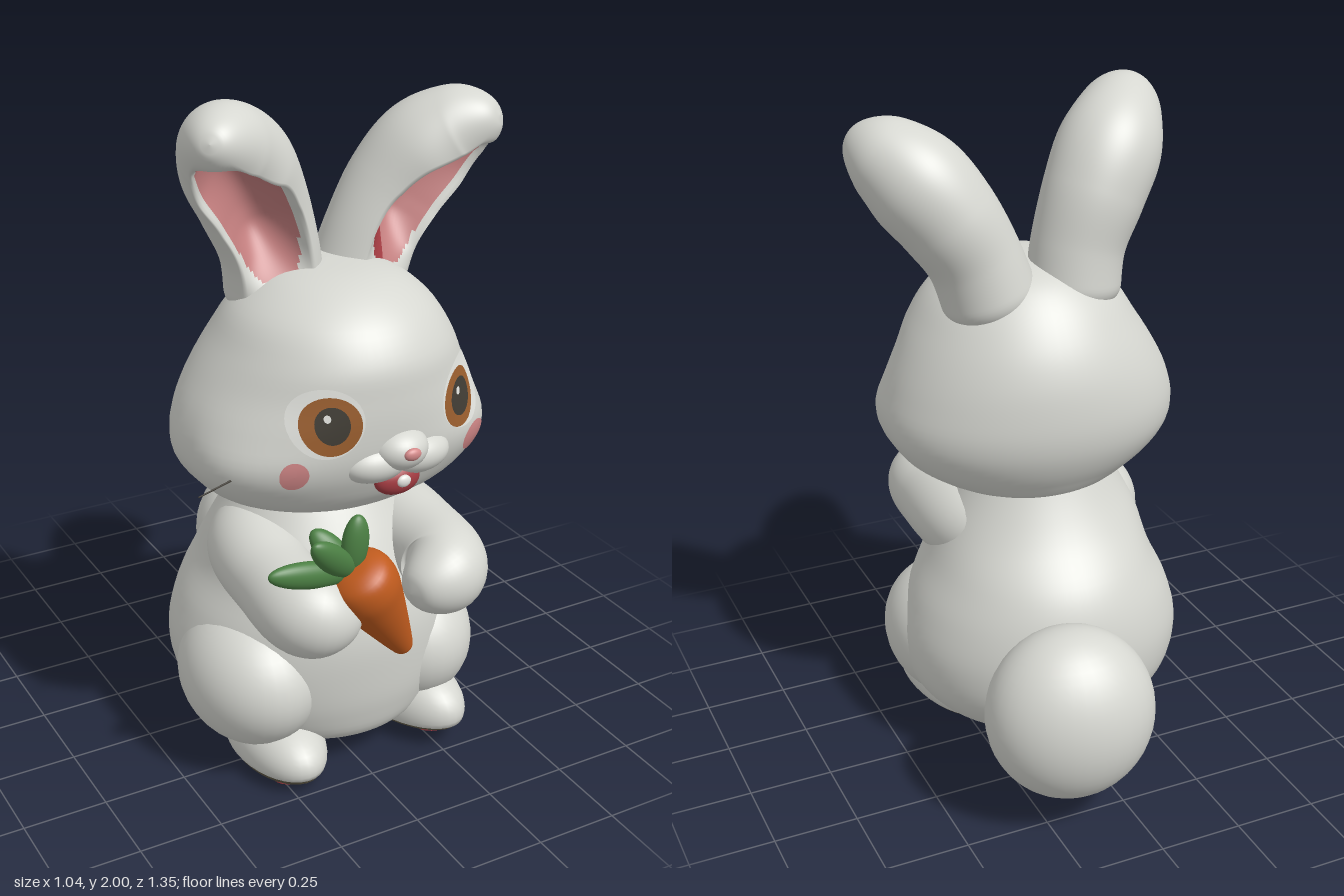
import * as THREE from 'three';

const mat = (name, color) => Object.assign(new THREE.MeshStandardMaterial({ color }), { name });
const M = {
  fur: mat('fur', 0xd6d7d1), pink: mat('earPink', 0xc47f7f), blush: mat('blush', 0xd28888),
  mouth: mat('mouthRed', 0xa43c42), iris: mat('iris', 0x9a5e2e), pupil: mat('pupil', 0x403c34),
  carrot: mat('carrotOrange', 0xc05b1e), leaf: mat('leafGreen', 0x4c8044),
  sole: mat('soleBrown', 0x5c5644), shine: mat('shine', 0xe2e3de),
};
const V = (x, y, z) => new THREE.Vector3(x, y, z);

// Catmull-Rom through rows of numbers, s from 0 to 1
function spline(rows, s) {
  const n = rows.length - 1, f = Math.min(Math.max(s, 0), 1) * n;
  const i = Math.min(Math.floor(f), n - 1), t = f - i;
  const at = k => rows[Math.min(Math.max(k, 0), n)];
  const [a, b, c, d] = [at(i - 1), at(i), at(i + 1), at(i + 2)];
  return b.map((p, k) => p + 0.5 * t * (c[k] - a[k]
    + t * (2 * a[k] - 5 * p + 4 * c[k] - d[k] + t * (3 * (p - c[k]) + d[k] - a[k]))));
}

// Closed smooth surface of rings: point(angle, t); pick(angle, t) gives the material index of a quad
function surface(point, segs, rows, pick = () => 0) {
  const pos = [], parts = [[], [], []];
  for (let i = 0; i <= rows; i++) for (let j = 0; j < segs; j++)
    pos.push(...point(j / segs * Math.PI * 2, i / rows).toArray());
  for (let i = 0; i < rows; i++) for (let j = 0; j < segs; j++) {
    const a = i * segs + j, b = i * segs + (j + 1) % segs, c = a + segs, d = b + segs;
    parts[pick((j + 0.5) / segs * Math.PI * 2, (i + 0.5) / rows)].push(a, c, b, b, c, d);
  }
  const g = new THREE.BufferGeometry();
  g.setAttribute('position', new THREE.Float32BufferAttribute(pos, 3));
  g.setIndex(parts.flat());
  let start = 0;
  parts.forEach((part, k) => {
    if (part.length) g.addGroup(start, part.length, k);
    start += part.length;
  });
  g.computeVertexNormals();
  return g;
}

// Upright form from rows [y, centreX, halfWidth, backZ, frontZ, frontRoundness]
const ringForm = rows => surface((a, t) => {
  const [y, cx, rx, zb, zf, round = 1] = spline(rows, t), s = Math.sin(a);
  return V(cx + rx * Math.cos(a), y, (zb + zf) / 2 + (zf - zb) / 2 * (s > 0 ? s ** round : s));
}, 64, 48);

// Swept form along rows [x, y, z, radius] with rounded ends
function sweep(rows, ref, shape, segs, pick) {
  const cap = t => Math.sqrt(Math.max(1e-6, 1 - Math.max(0, (t - 0.78) / 0.22, (0.1 - t) / 0.1) ** 2));
  return surface((a, t) => {
    const p = spline(rows, t), lo = spline(rows, t - 0.02), hi = spline(rows, t + 0.02);
    const T = V(hi[0] - lo[0], hi[1] - lo[1], hi[2] - lo[2]).normalize();
    const U = ref.clone().addScaledVector(T, -ref.dot(T)).normalize();
    const W = U.clone().cross(T), [u, w] = shape(a, t), r = p[3] * cap(t);
    return V(p[0], p[1], p[2]).addScaledVector(U, u * r).addScaledVector(W, w * r);
  }, segs, segs, pick);
}

// Full cheeks low down, rounder brow
const HEAD = [
  [0.815, 0.02, 0.001, 0.13, 0.132, 1], [0.83, 0.015, 0.22, -0.07, 0.35, 0.9], [0.89, 0.01, 0.36, -0.135, 0.46, 0.75],
  [0.97, 0.005, 0.435, -0.18, 0.515, 0.65], [1.05, 0.005, 0.452, -0.2, 0.545, 0.65], [1.14, 0.005, 0.43, -0.2, 0.555, 0.85],
  [1.23, 0.01, 0.39, -0.185, 0.555, 1], [1.32, 0.015, 0.34, -0.15, 0.545, 1], [1.41, 0.015, 0.28, -0.09, 0.49, 1],
  [1.475, 0.02, 0.195, -0.02, 0.4, 1], [1.505, 0.02, 0.1, 0.06, 0.3, 1], [1.512, 0.02, 0.001, 0.16, 0.162, 1],
];
const BODY = [
  [0.045, 0.03, 0.001, 0.09, 0.092], [0.055, 0.03, 0.18, -0.08, 0.3], [0.1, 0.02, 0.32, -0.22, 0.43],
  [0.2, 0.015, 0.41, -0.3, 0.475], [0.33, 0.01, 0.435, -0.325, 0.495], [0.46, 0.01, 0.405, -0.315, 0.5],
  [0.58, 0.01, 0.35, -0.27, 0.475], [0.7, 0, 0.31, -0.175, 0.42], [0.8, 0, 0.26, -0.115, 0.36],
  [0.92, 0, 0.2, -0.06, 0.28],
];

// Depth of the front of the head at x, y
function headZ(x, y) {
  let lo = 0, hi = 1;
  for (let k = 0; k < 30; k++) {
    const m = (lo + hi) / 2;
    if (spline(HEAD, m)[0] < y) lo = m; else hi = m;
  }
  const [, cx, rx, zb, zf, round] = spline(HEAD, lo);
  return (zb + zf) / 2 + (zf - zb) / 2 * Math.max(0, 1 - ((x - cx) / rx) ** 2) ** (round / 2);
}

// Thin oval lying on the face
function facePatch(x, y, rx, ry, lift) {
  const g = new THREE.RingGeometry(0, 1, 36, 5), p = g.attributes.position;
  for (let i = 0; i < p.count; i++) {
    const px = x + p.getX(i) * rx, py = y + p.getY(i) * ry;
    p.setXYZ(i, px, py, headZ(px, py) + lift);
  }
  g.computeVertexNormals();
  return g;
}

export function createModel() {
  const group = new THREE.Group();
  group.name = 'rabbit';
  const add = (name, geo, material, parent = group) => {
    const m = new THREE.Mesh(geo, material);
    m.name = name;
    parent.add(m);
    return m;
  };
  const ball = (name, material, c, r, parent) => {
    const m = add(name, new THREE.SphereGeometry(1, 36, 24), material, parent);
    m.position.set(...c);
    m.scale.set(...r);
    return m;
  };

  add('body', ringForm(BODY), M.fur);
  add('head', ringForm(HEAD), M.fur);
  ball('tail', M.fur, [0.165, 0.35, -0.475], [0.25, 0.26, 0.2]).rotation.set(0.12, -0.15, 0);

  // Deep cupped ears, pink inside and darker at the root of the left one
  const smooth = THREE.MathUtils.smoothstep;
  const ear = (name, side, rows) => {
    const cup = (a, t) => Math.sin(a) <= 0 ? 0 : Math.max(0, 1 - ((Math.cos(a) - 0.1 * side) / 0.7) ** 2)
      * smooth(t, 0.03, 0.33) * (1 - smooth(t, 0.75, 0.95));
    add(name, sweep(rows, V(1, 0, -0.12 * side),
      (a, t) => [Math.cos(a), Math.sin(a) - 1.1 * cup(a, t)], 96,
      (a, t) => cup(a, t) < 0.27 ? 0 : side > 0 && t < 0.34 && Math.cos(a) < 0 ? 2 : 1), [M.fur, M.pink, M.mouth]);
  };
  ear('rightEar', -1, [[-0.1, 1.36, 0.09, 0.145], [-0.125, 1.54, 0.1, 0.14], [-0.18, 1.69, 0.11, 0.152],
    [-0.25, 1.81, 0.15, 0.155], [-0.33, 1.89, 0.235, 0.122], [-0.415, 1.93, 0.34, 0.08]]);
  ear('leftEar', 1, [[0.14, 1.36, 0.09, 0.145], [0.2, 1.54, 0.1, 0.138], [0.275, 1.67, 0.11, 0.148],
    [0.355, 1.775, 0.145, 0.152], [0.43, 1.845, 0.205, 0.122], [0.495, 1.885, 0.29, 0.08]]);

  // Arms, shoulders sunk into the body
  const arm = (name, rows) => add(name, sweep(rows, V(0, 1, 0), a => [Math.cos(a), Math.sin(a)], 48), M.fur);
  arm('leftArm', [[0.03, 0.64, -0.04, 0.12], [0.2, 0.675, 0.14, 0.14], [0.235, 0.67, 0.38, 0.125],
    [0.2, 0.66, 0.54, 0.122], [0.06, 0.64, 0.585, 0.09]]);
  arm('rightArm', [[-0.03, 0.63, -0.04, 0.12], [-0.2, 0.665, 0.14, 0.14], [-0.245, 0.65, 0.36, 0.125],
    [-0.22, 0.63, 0.52, 0.13], [-0.09, 0.61, 0.56, 0.09]]);

  // Legs and feet
  for (const [side, x, y, yaw, high] of [['right', -0.205, 0.033, -0.06, 0.115], ['left', 0.25, 0.06, 0.15, 0.13]]) {
    const s = Math.sign(x);
    ball(side + 'Thigh', M.fur, [s * 0.26, 0.29, 0.215], [0.205, 0.215, 0.255]);
    const foot = new THREE.Group();
    foot.name = side + 'Foot';
    foot.position.set(x, y, 0.27);
    foot.rotation.set(-0.08, yaw, 0);
    group.add(foot);
    const g = new THREE.SphereGeometry(1, 36, 24), p = g.attributes.position;
    for (let i = 0; i < p.count; i++) p.setY(i, Math.max(p.getY(i), -0.25));
    g.computeVertexNormals();
    const top = add(side + 'FootTop', g, M.fur, foot);
    top.scale.set(0.13, high, 0.245);
    top.position.y = 0.03;
    const sole = add(side + 'Sole', new THREE.CylinderGeometry(1, 0.94, 0.022, 36), M.sole, foot);
    sole.scale.set(0.122, 1, 0.235);
    sole.position.y = -0.004;
    const pad = add(side + 'ToePad', new THREE.CylinderGeometry(1, 1, 0.004, 24), M.mouth, foot);
    pad.scale.set(0.075, 1, 0.055);
    pad.position.set(0, -0.016, 0.155);
  }

  // Eyes: white, iris, pupil, glint
  for (const [side, x, y, dx, r] of [['right', -0.167, 1.185, -0.008, 0.08], ['left', 0.258, 1.172, 0.024, 0.071]]) {
    add(side + 'EyeWhite', facePatch(x + dx, y, 0.098, 0.096, 0.004), M.shine);
    add(side + 'Iris', facePatch(x, y - 0.005, r, 0.081, 0.009), M.iris);
    add(side + 'Pupil', facePatch(x, y, 0.045, 0.052, 0.014), M.pupil);
    add(side + 'Glint', facePatch(x - 0.014, y + 0.022, 0.009, 0.011, 0.018), M.shine);
  }
  add('rightBlush', facePatch(-0.262, 1.042, 0.037, 0.042, 0.004), M.blush);
  add('leftBlush', facePatch(0.335, 1.022, 0.053, 0.046, 0.004), M.blush);

  // Muzzle, nose, mouth
  ball('rightMuzzle', M.fur, [-0.02, 1.04, 0.5], [0.105, 0.06, 0.075]);
  ball('leftMuzzle', M.fur, [0.11, 1.04, 0.5], [0.105, 0.06, 0.075]);
  ball('noseBridge', M.fur, [0.045, 1.075, 0.52], [0.085, 0.062, 0.082]);
  ball('nose', M.blush, [0.045, 1.082, 0.597], [0.026, 0.018, 0.014]);
  ball('mouth', M.mouth, [0.042, 0.98, 0.525], [0.07, 0.045, 0.035]);
  ball('teeth', M.shine, [0.045, 0.985, 0.556], [0.022, 0.018, 0.012]);
  const whisker = add('whisker', new THREE.CylinderGeometry(0.003, 0.002, 0.1, 6), M.pupil);
  whisker.position.set(-0.45, 1.01, 0.4);
  whisker.rotation.z = -1.3;

  // Carrot and its leaves
  const carrot = new THREE.Group();
  carrot.name = 'carrot';
  carrot.position.set(0.075, 0.435, 0.54);
  carrot.quaternion.setFromUnitVectors(V(0, 1, 0), V(-0.195, 0.33, 0.035).normalize());
  group.add(carrot);
  const profile = [[0, 0], [0.025, 0.008], [0.038, 0.04], [0.064, 0.14], [0.088, 0.24], [0.101, 0.31],
    [0.09, 0.365], [0.05, 0.392], [0, 0.398]].map(p => new THREE.Vector2(...p));
  add('carrotRoot', new THREE.LatheGeometry(new THREE.SplineCurve(profile).getPoints(40)
    .map(p => p.set(Math.max(0, p.x), p.y)), 32), M.carrot, carrot);
  for (const [x, y, z] of [[-0.38, 0.805, 0.57], [-0.27, 0.895, 0.62], [-0.21, 0.87, 0.5], [-0.105, 0.925, 0.57]]) {
    const base = V(-0.12, 0.75, 0.565), d = V(x, y, z).sub(base);
    const leaf = ball('leaf', M.leaf, base.clone().addScaledVector(d, 0.5).toArray(), [0.04, d.length() / 2, 0.03]);
    leaf.quaternion.setFromUnitVectors(V(0, 1, 0), d.normalize());
  }
  return group;
}
